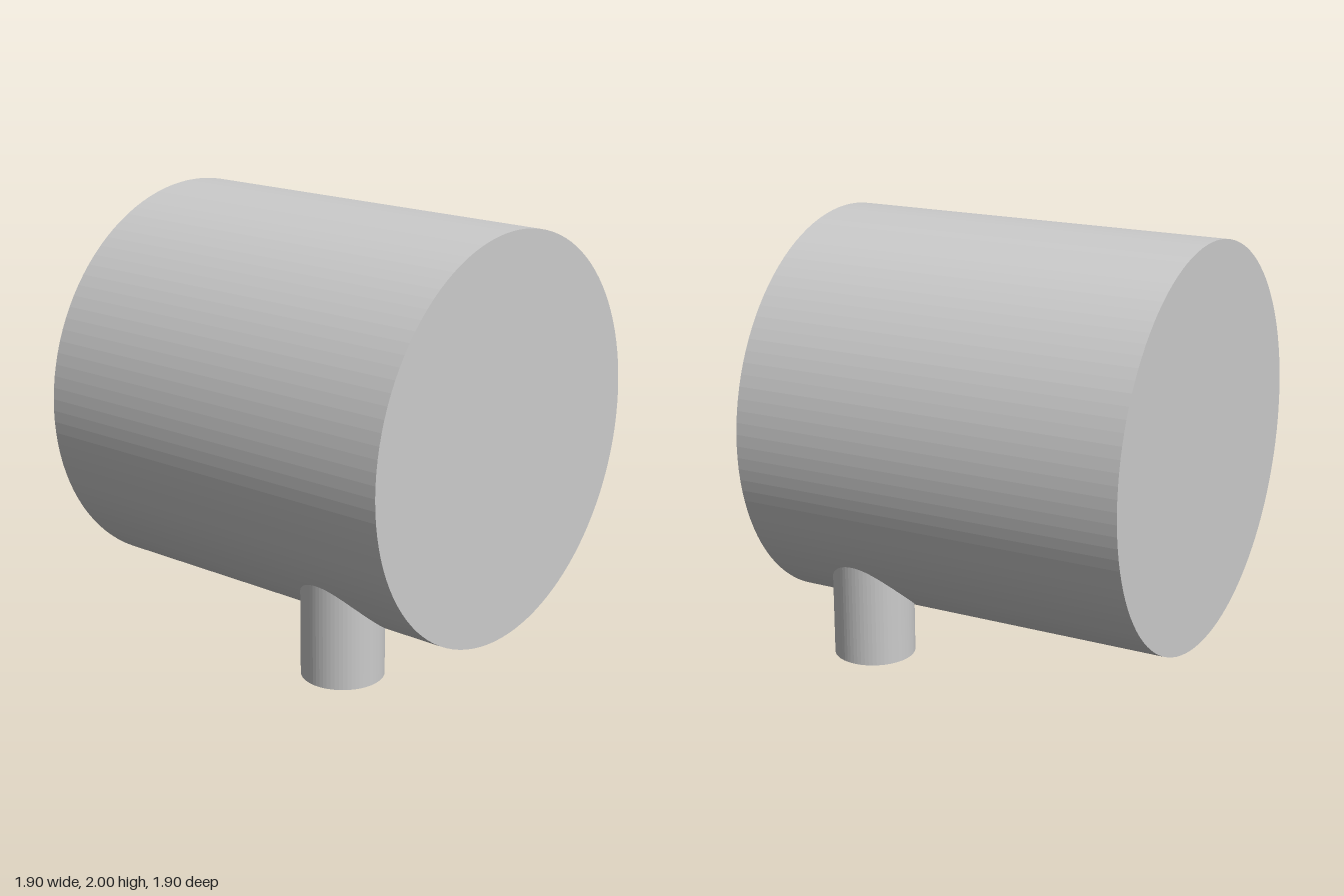
import * as THREE from 'three';

const R = 0.95, LENGTH = 1.9, AXIS_Y = 1.05; // drum
const LEG_R = 0.19, LEG_H = 0.57, LEG_X = 0.475, LEG_Z = 0.57;

export function createModel() {
  const group = new THREE.Group();
  const material = new THREE.MeshStandardMaterial({ color: 0xcccccc, flatShading: true });

  // Solid drum lying along x
  const drum = new THREE.Mesh(new THREE.CylinderGeometry(R, R, LENGTH, 108), material);
  drum.name = 'drum';
  drum.rotation.z = Math.PI / 2;
  drum.position.y = AXIS_Y;
  group.add(drum);

  // One pair of legs near the +x end, their tops sunk into the drum
  for (const side of [1, -1]) {
    const leg = new THREE.Mesh(new THREE.CylinderGeometry(LEG_R, LEG_R, LEG_H, 64), material);
    leg.name = side > 0 ? 'frontLeg' : 'backLeg';
    leg.position.set(LEG_X, LEG_H / 2, side * LEG_Z);
    group.add(leg);
  }
  return group;
}
